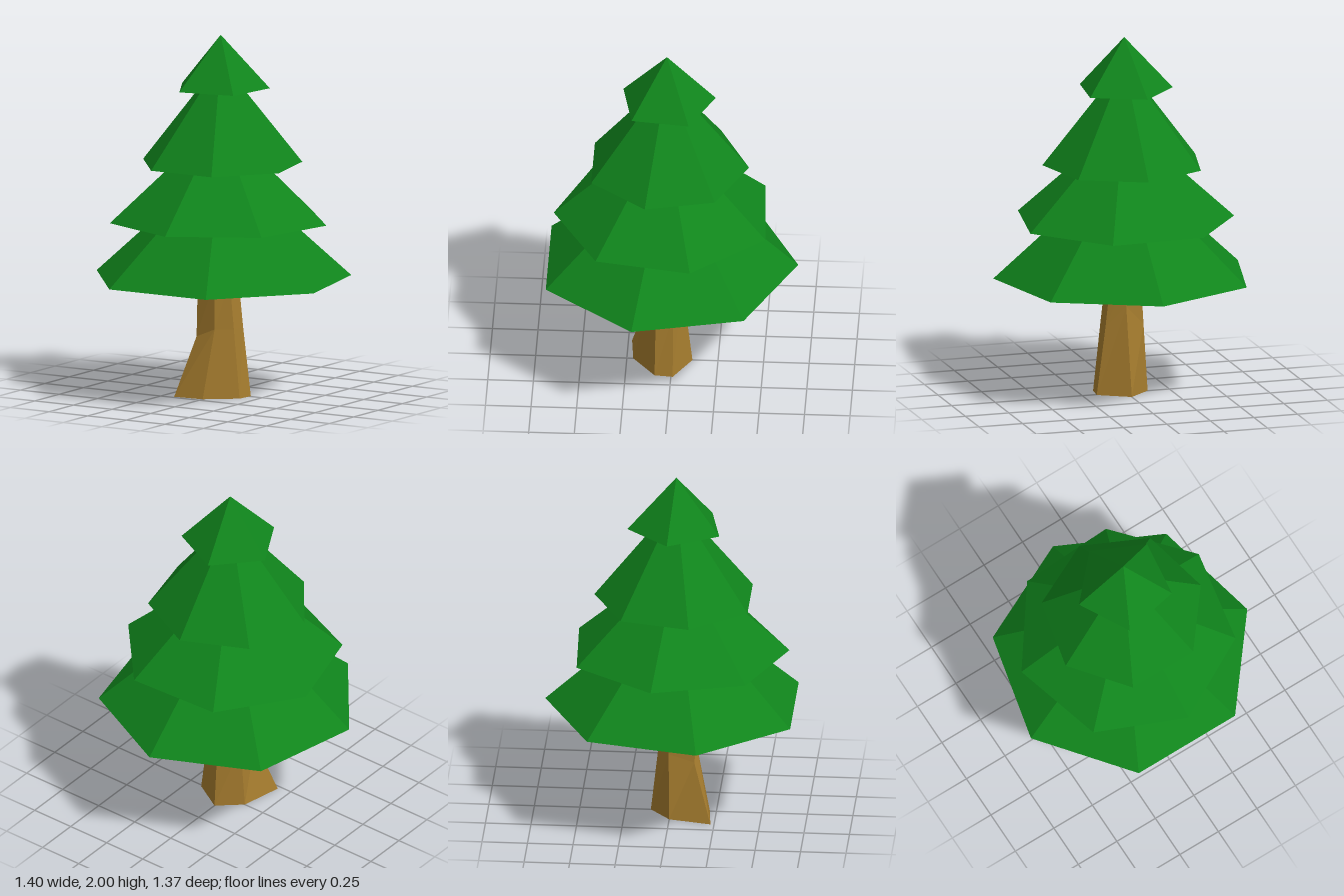
import * as THREE from 'three';

const leafMat = new THREE.MeshStandardMaterial({ color: 0x10851c, flatShading: true });
const barkMat = new THREE.MeshStandardMaterial({ color: 0xa57c2e, flatShading: true });

// Skin between rings of [x, y, z] points (clockwise from above), capped at both ends
function loft(rings) {
  const n = rings[0].length;
  const pos = [];
  const tri = (a, b, c) => pos.push(...a, ...b, ...c);
  const centre = (ring) => [0, 1, 2].map((k) => ring.reduce((s, p) => s + p[k], 0) / n);
  const first = rings[0];
  const last = rings[rings.length - 1];
  for (let i = 0; i < n; i++) {
    const j = (i + 1) % n;
    for (let r = 0; r < rings.length - 1; r++) {
      const a = rings[r];
      const b = rings[r + 1];
      tri(a[j], a[i], b[i]);
      tri(a[j], b[i], b[j]);
    }
    tri(centre(first), first[i], first[j]);
    tri(centre(last), last[j], last[i]);
  }
  const geo = new THREE.BufferGeometry();
  geo.setAttribute('position', new THREE.Float32BufferAttribute(pos, 3));
  geo.computeVertexNormals();
  return geo;
}

export function createModel() {
  const tree = new THREE.Group();
  tree.name = 'pineTree';

  // Six-sided trunk, flared towards the front at its foot
  const trunk = new THREE.Mesh(loft([
    [[0, 0, -0.11], [0.17, 0, -0.01], [0.16, 0, 0.09], [0, 0, 0.215], [-0.175, 0, 0.23], [-0.125, 0, 0]],
    [[0.015, 0.5, -0.055], [0.12, 0.38, -0.01], [0.12, 0.38, 0.085], [0.03, 0.38, 0.14], [-0.09, 0.33, 0.135], [-0.1, 0.38, -0.005]],
    [[0.02, 0.65, -0.05], [0.09, 0.65, -0.01], [0.09, 0.65, 0.08], [0.03, 0.65, 0.14], [-0.085, 0.65, 0.13], [-0.085, 0.65, 0]],
  ]), barkMat);
  trunk.name = 'trunk';
  tree.add(trunk);

  // Foliage tiers: bottom y, top y, bottom radius, top radius, sides, turn in degrees, z
  const tiers = [
    [0.65, 0.97, 0.72, 0.37, 7, 180, 0.03],
    [0.97, 1.285, 0.61, 0.265, 7, 157.1, 0.04],
    [1.285, 1.705, 0.45, 0.12, 7, 180, 0.03],
    [1.705, 2, 0.27, 0, 5, 191, 0.03],
  ];
  tiers.forEach(([y0, y1, rBottom, rTop, sides, turn, z], i) => {
    const geo = new THREE.CylinderGeometry(
      rTop, rBottom, y1 - y0, sides, 1, false, THREE.MathUtils.degToRad(turn));
    const tier = new THREE.Mesh(geo, leafMat);
    tier.position.set(0, (y0 + y1) / 2, z);
    tier.name = `foliageTier${i + 1}`;
    tree.add(tier);
  });

  return tree;
}
